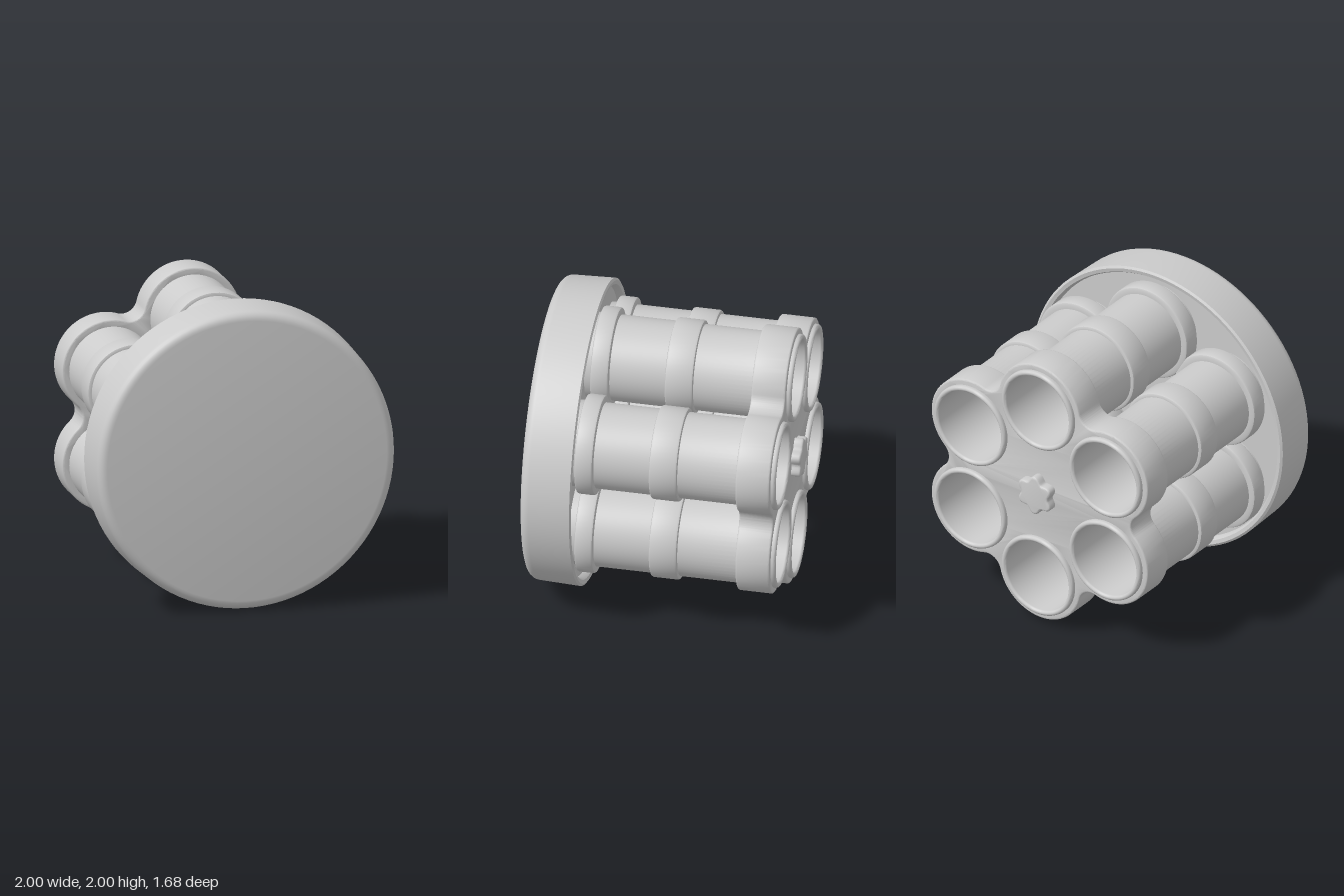
import * as THREE from 'three';
import { toCreasedNormals } from 'three/addons/utils/BufferGeometryUtils.js';

const RING = 0.624; // distance of the barrels from the axis
const COUNT = 6;
const LOBE = 0.325;
const BORE = 0.25;
const AXIS_Y = 0.99;

const material = new THREE.MeshStandardMaterial({ color: 0xcccccc, side: THREE.DoubleSide });

function part(name, geometry, crease = 0.55) {
  const mesh = new THREE.Mesh(toCreasedNormals(geometry, crease), material);
  mesh.name = name;
  return mesh;
}

// Revolve [radius, z] points around the z axis
function turned(points, segments) {
  const profile = points.map(([r, z]) => new THREE.Vector2(r, z));
  return new THREE.LatheGeometry(profile, segments).rotateX(Math.PI / 2);
}

// Raised band with slightly rounded shoulders
function band(r, z0, z1) {
  const e = 0.015;
  return [[0.28, z0], [r - e, z0], [r - e * 0.3, z0 + e * 0.3], [r, z0 + e],
    [r, z1 - e], [r - e * 0.3, z1 - e * 0.3], [r - e, z1], [0.28, z1]];
}

// Six round lobes joined by concave fillets
function lobedShape() {
  const fillet = 0.1;
  const half = Math.PI / COUNT;
  const dist = RING * Math.cos(half) +
    Math.sqrt((LOBE + fillet) ** 2 - (RING * Math.sin(half)) ** 2);
  // direction from a lobe centre to the next fillet centre
  const toFillet = Math.atan2(dist * Math.sin(half), dist * Math.cos(half) - RING);
  const shape = new THREE.Shape();
  for (let i = 0; i < COUNT; i++) {
    const a = Math.PI / 2 + i * 2 * half;
    const b = a + half;
    shape.absarc(RING * Math.cos(a), RING * Math.sin(a), LOBE, a - toFillet, a + toFillet, false);
    shape.absarc(dist * Math.cos(b), dist * Math.sin(b), fillet,
      a + toFillet + Math.PI, b + half - toFillet + Math.PI, true);
    const hole = new THREE.Path();
    hole.absarc(RING * Math.cos(a), RING * Math.sin(a), BORE + 0.01, 0, Math.PI * 2, true);
    shape.holes.push(hole);
  }
  return shape;
}

// Small wavy knob outline
function knobShape() {
  const points = [];
  for (let i = 0; i < 72; i++) {
    const a = (i / 72) * Math.PI * 2;
    const r = 0.118 + 0.017 * Math.cos(COUNT * (a - Math.PI / 2));
    points.push(new THREE.Vector2(r * Math.cos(a), r * Math.sin(a)));
  }
  return new THREE.Shape(points);
}

export function createModel() {
  const model = new THREE.Group();
  model.name = 'barrelCluster';

  // Front disc: hollow at the back, rounded front edge
  const disc = [[0, 0.55], [0.945, 0.55], [0.95, 0.52], [0.96, 0.505], [0.985, 0.5], [1, 0.51], [0.99, 0.78]];
  for (let i = 1; i <= 6; i++) {
    const a = (i / 6) * Math.PI / 2;
    disc.push([0.93 + 0.06 * Math.cos(a), 0.78 + 0.06 * Math.sin(a)]);
  }
  disc.push([0, 0.84]);
  const frontDisc = part('frontDisc', turned(disc, 96));
  frontDisc.position.y = 1;
  model.add(frontDisc);

  const cluster = new THREE.Group();
  cluster.name = 'cluster';
  cluster.position.y = AXIS_Y;
  model.add(cluster);

  // Barrels: bore, rounded muzzle lip, tube and two bands
  const barrel = [[0, 0.45], [BORE, 0.45], [BORE, -0.79]];
  for (let i = 0; i <= 6; i++) {
    const a = (i / 6) * Math.PI;
    barrel.push([0.268 - 0.018 * Math.cos(a), -0.792 - 0.018 * Math.sin(a)]);
  }
  barrel.push([0.286, -0.77], [0.28, -0.76], ...band(0.305, -0.165, 0.02), ...band(LOBE, 0.385, 0.505), [0.28, 0.56]);
  const barrelGeometry = turned(barrel, 56);
  for (let i = 0; i < COUNT; i++) {
    const a = Math.PI / 2 + (i * 2 * Math.PI) / COUNT;
    const mesh = part('barrel', barrelGeometry);
    mesh.position.set(RING * Math.cos(a), RING * Math.sin(a), 0);
    cluster.add(mesh);
  }

  // Lobed plate holding the muzzles together
  const bevel = 0.012;
  const plate = part('muzzlePlate', new THREE.ExtrudeGeometry(lobedShape(), {
    depth: 0.225 - 2 * bevel, curveSegments: 32,
    bevelSize: bevel, bevelThickness: bevel, bevelOffset: -bevel, bevelSegments: 3,
  }));
  plate.position.z = -0.778 + bevel;
  cluster.add(plate);

  // Knob in the middle of the plate
  const knob = part('centreKnob', new THREE.ExtrudeGeometry(knobShape(), {
    depth: 0.06, bevelSize: 0.015, bevelThickness: 0.015, bevelOffset: -0.01, bevelSegments: 4,
  }));
  knob.position.z = -0.825;
  cluster.add(knob);

  return model;
}
